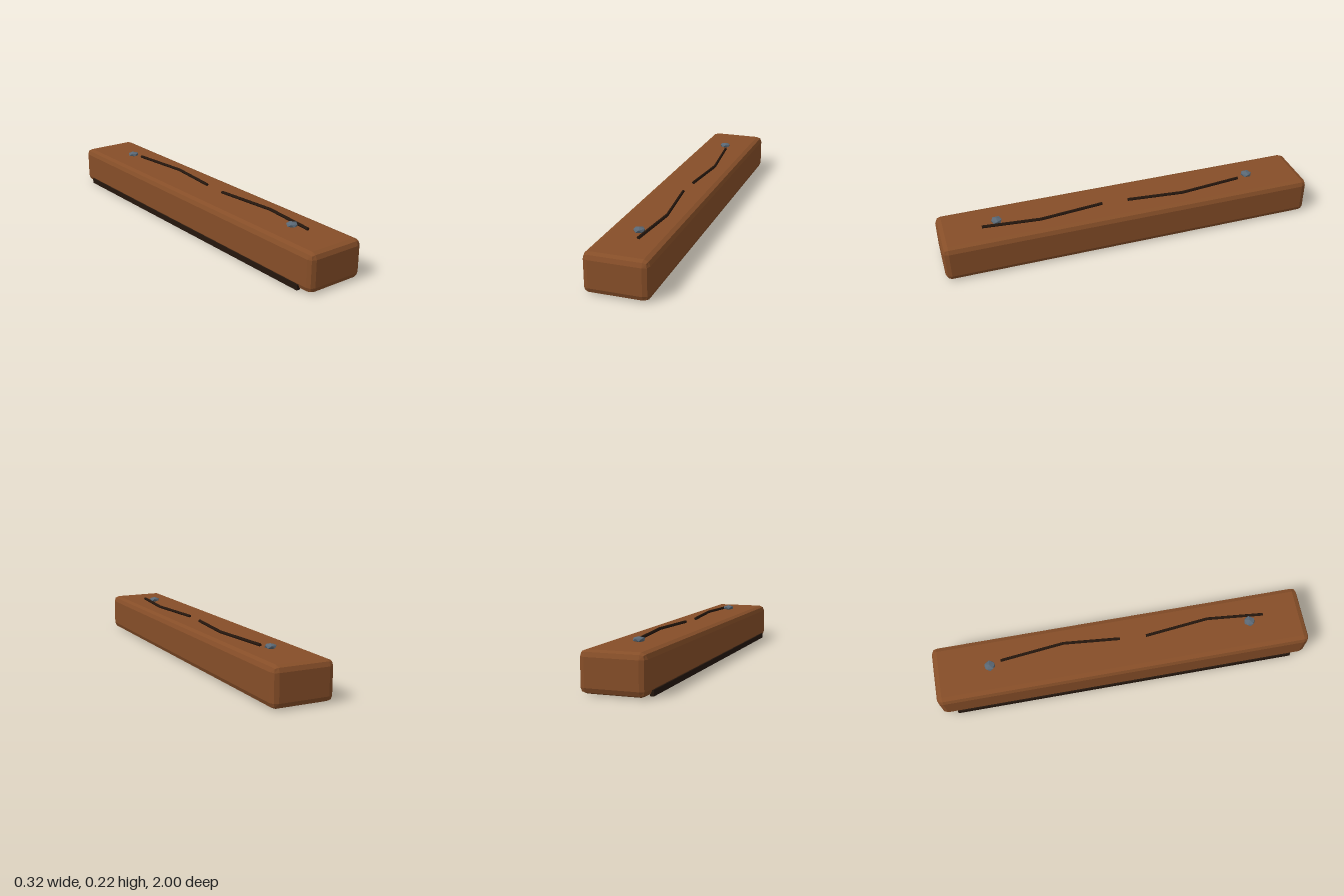
import * as THREE from 'three';
import { RoundedBoxGeometry } from 'three/addons/geometries/RoundedBoxGeometry.js';
import { ConvexGeometry } from 'three/addons/geometries/ConvexGeometry.js';

const material = (color) => new THREE.MeshStandardMaterial({ color, flatShading: true });

// Squashed icosahedron standing on its pole
function boltGeometry(radius, halfHeight) {
  const points = [new THREE.Vector3(0, halfHeight, 0), new THREE.Vector3(0, -halfHeight, 0)];
  for (let i = 0; i < 5; i++) {
    const a = (i * Math.PI * 2) / 5;
    const x = radius * Math.cos(a), z = radius * Math.sin(a), y = halfHeight * 0.447;
    points.push(new THREE.Vector3(x, y, z), new THREE.Vector3(-x, -y, z));
  }
  return new ConvexGeometry(points);
}

// Six-sided rod whose three rings are moved onto the bent path
function crackGeometry(path, radius) {
  const geometry = new THREE.CylinderGeometry(radius, radius, 2, 6, 2);
  geometry.rotateY(Math.PI / 6).rotateX(Math.PI / 2);
  const pos = geometry.attributes.position;
  for (let i = 0; i < pos.count; i++) {
    const [x, z] = path[Math.round(pos.getZ(i)) + 1];
    pos.setX(i, pos.getX(i) + x);
    pos.setZ(i, z);
  }
  geometry.computeVertexNormals();
  return geometry;
}

export function createModel() {
  const model = new THREE.Group();
  model.name = 'woodenPlank';
  const wood = material(0x864e28);
  const dark = material(0x24160d);
  const metal = material(0x5a6875);

  const add = (name, geometry, mat, x, y, z) => {
    const mesh = new THREE.Mesh(geometry, mat);
    mesh.name = name;
    mesh.position.set(x, y, z);
    model.add(mesh);
  };

  // Beam with bevelled edges
  add('plank', new RoundedBoxGeometry(0.318, 0.197, 2, 1, 0.03), wood, 0.002, 0.1025, 0);

  // Dark strip along the lower right edge
  add('edgeStrip', new THREE.BoxGeometry(0.019, 0.028, 1.84), dark, -0.1535, 0.016, 0);

  // Bolts near both ends
  const bolt = boltGeometry(0.028, 0.0145);
  for (const z of [-0.7, 0.7]) add('bolt', bolt, metal, 0, 0.212, z);

  // Bent cracks in the top face
  const crack = crackGeometry([[0.02, -0.64], [0.056, -0.3], [0.028, 0]], 0.008);
  for (const z of [0, 0.78]) add('crack', crack, dark, 0, 0.207, z);

  return model;
}
